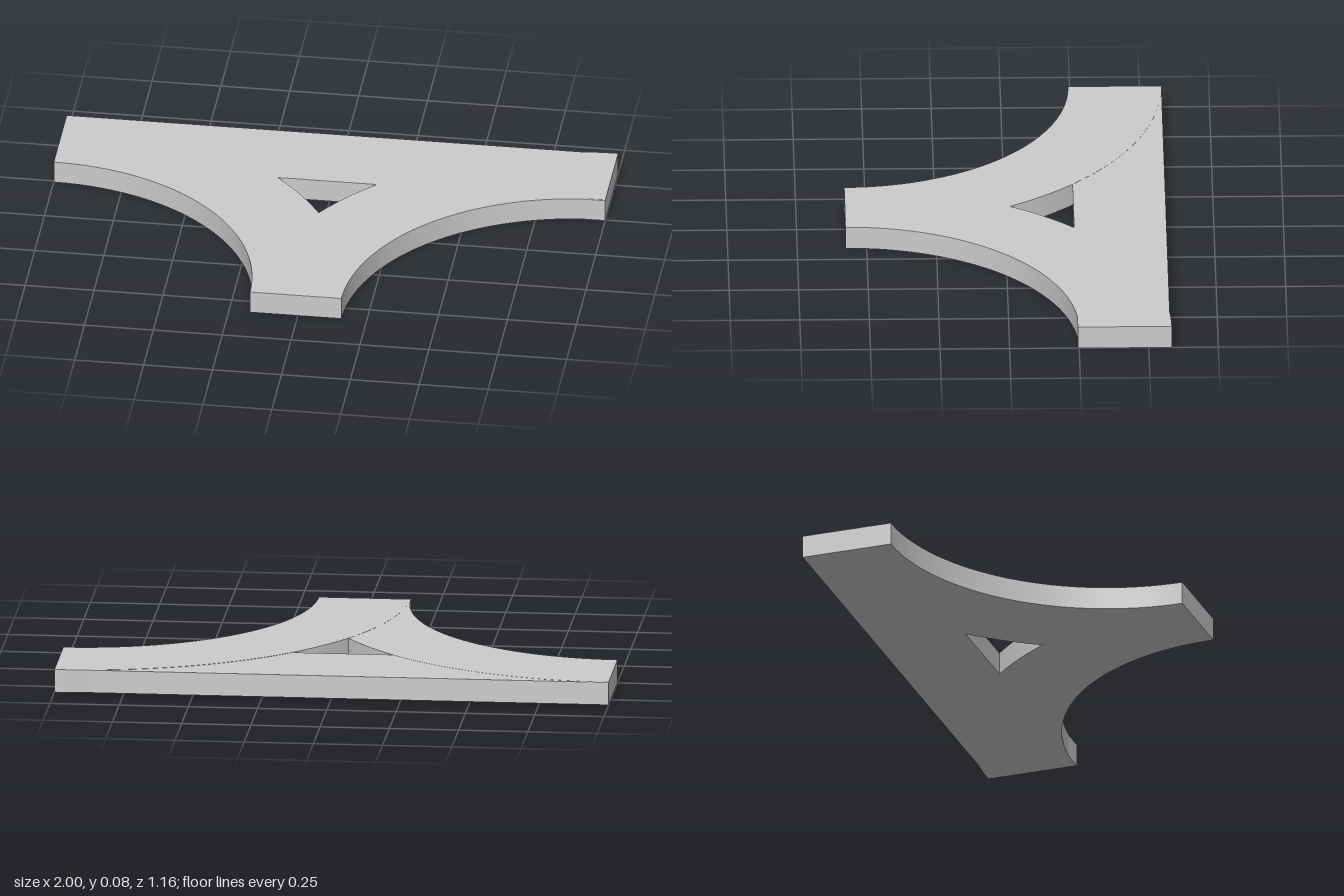
import * as THREE from 'three';
import { toCreasedNormals } from 'three/addons/utils/BufferGeometryUtils.js';

const material = new THREE.MeshStandardMaterial({ color: 0xcccccc });

// Extrude a plan outline (x, -z) upwards from the ground
function slab(name, shape, height) {
  const geometry = new THREE.ExtrudeGeometry(shape, { depth: height, bevelEnabled: false, curveSegments: 24 });
  geometry.rotateX(-Math.PI / 2);
  const mesh = new THREE.Mesh(toCreasedNormals(geometry, 0.5), material);
  mesh.name = name;
  return mesh;
}

// Quarter-turn band between an outer and an inner arc
function bend(cx, cz, outer, inner, start) {
  const end = start + Math.PI / 2;
  const shape = new THREE.Shape();
  shape.absellipse(cx, -cz, outer[0], outer[1], start, end, false);
  shape.absellipse(cx, -cz, inner[0], inner[1], end, start, true);
  shape.closePath();
  return shape;
}

export function createModel() {
  const group = new THREE.Group();
  group.name = 'trackJunction';

  // Straight run along the back
  const straight = new THREE.Shape([
    new THREE.Vector2(-1, 0.245), new THREE.Vector2(1, 0.245),
    new THREE.Vector2(1, 0.577), new THREE.Vector2(-1, 0.577),
  ]);
  group.add(slab('straightTrack', straight, 0.083));

  // Two curved branches, meeting at the front; tiny height steps keep the tops distinct
  group.add(slab('rightCurve', bend(-1, 0.576, [1.158, 1.151], [0.826, 0.817], 0), 0.0835));
  group.add(slab('leftCurve', bend(1, 0.576, [1.172, 1.159], [0.842, 0.825], Math.PI / 2), 0.084));

  return group;
}
